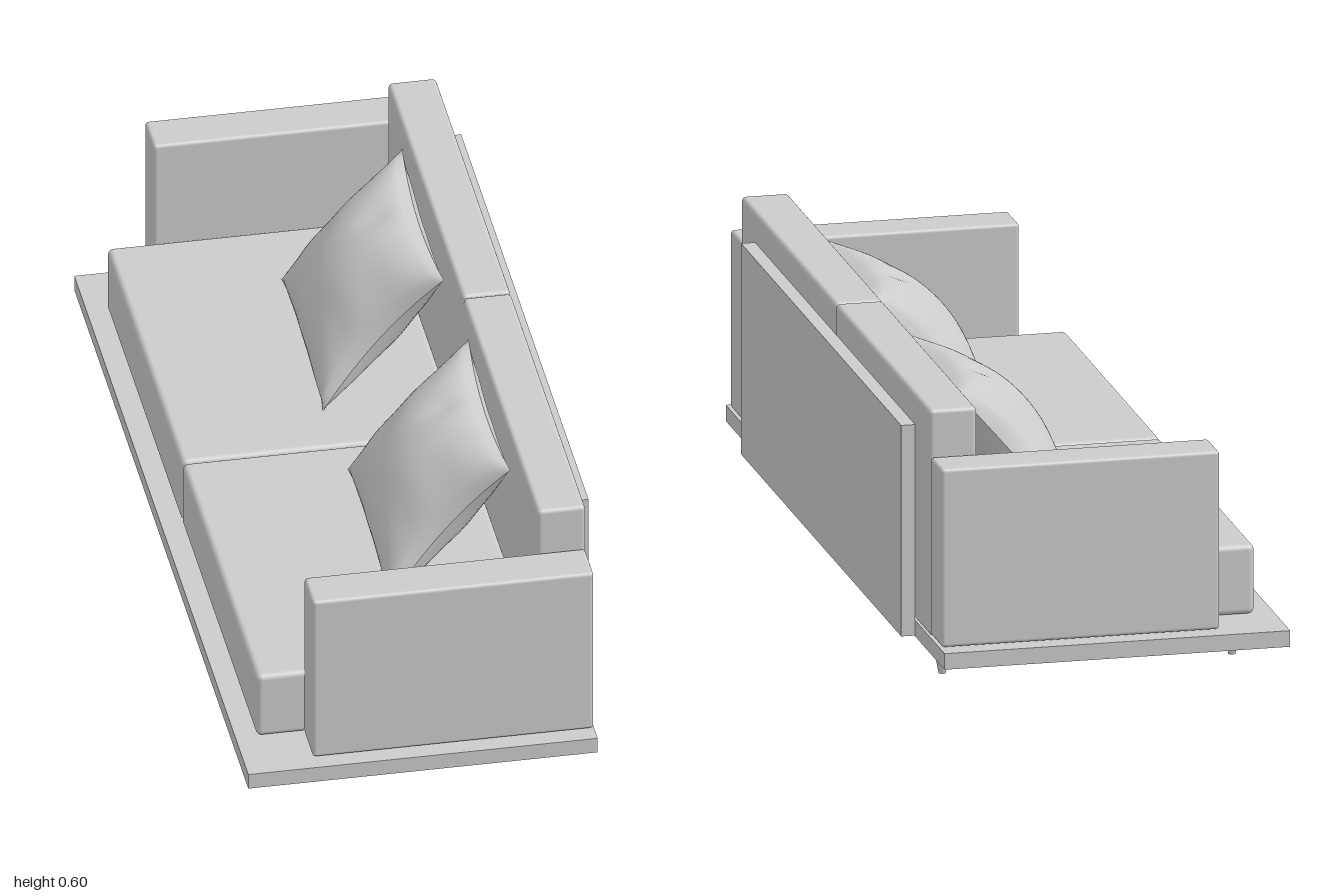
import * as THREE from 'three';
import { RoundedBoxGeometry } from 'three/addons/geometries/RoundedBoxGeometry.js';
import { mergeGeometries } from 'three/addons/utils/BufferGeometryUtils.js';

const material = new THREE.MeshStandardMaterial({ color: 0xcccccc });

// Box given by its extents; a radius above zero rounds the edges.
function block(name, [x0, x1], [y0, y1], [z0, z1], radius = 0) {
  const size = [x1 - x0, y1 - y0, z1 - z0];
  const geometry = radius
    ? new RoundedBoxGeometry(...size, 4, radius)
    : new THREE.BoxGeometry(...size);
  const mesh = new THREE.Mesh(geometry, material);
  mesh.name = name;
  mesh.position.set((x0 + x1) / 2, (y0 + y1) / 2, (z0 + z1) / 2);
  return mesh;
}

// One face of the pillow: a grid with drawn-in edges, puffed out from the seam.
function pillowFace(side) {
  const halfWidth = 0.258, halfHeight = 0.203, puff = 0.1;
  const geometry = new THREE.PlaneGeometry(2, 2, 40, 40);
  const p = geometry.attributes.position;
  for (let i = 0; i < p.count; i++) {
    const u = p.getX(i) * side, v = p.getY(i);
    const a = Math.max(0, 1 - u * u), b = Math.max(0, 1 - v * v);
    const x = u * halfWidth * (1 - 0.13 * b);
    const y = v * halfHeight * (1 - 0.09 * a);
    // folds that run in from the seams, and one dent at the top
    const folds = 0.005 * a * b * (u * u * Math.sin(9 * v + 2 * u) + v * v * Math.sin(10 * u + 1));
    const dent = 0.018 * Math.exp(-((u + 0.1) ** 2) / 0.02 - ((v - 0.75) ** 2) / 0.05) * b;
    const z = puff * Math.pow(a * b, 0.55) + folds - dent;
    p.setXYZ(i, x, y, z * side);
  }
  geometry.computeVertexNormals();
  return geometry;
}

export function createModel() {
  const sofa = new THREE.Group();
  sofa.name = 'sofa';

  // Platform and rear panel
  sofa.add(block('basePlate', [-0.4, 0.365], [0.058, 0.094], [-1, 1]));
  sofa.add(block('rearPanel', [0.365, 0.396], [0.06, 0.532], [-0.732, 0.732]));

  // Arms, seat cushions, back cushions and legs, mirrored across the middle
  const legGeometry = new THREE.CylinderGeometry(0.019, 0.008, 0.06, 16);
  for (const side of [-1, 1]) {
    const span = (a, b) => (side > 0 ? [a, b] : [-b, -a]);
    sofa.add(block('arm', [-0.252, 0.363], [0.097, 0.496], span(0.864, 0.966), 0.008));
    sofa.add(block('seatCushion', [-0.355, 0.258], [0.095, 0.251], span(0.002, 0.861), 0.013));
    sofa.add(block('backCushion', [0.26, 0.365], [0.095, 0.6], span(0.002, 0.861), 0.01));
    for (const x of [-0.313, 0.328]) {
      const leg = new THREE.Mesh(legGeometry, material);
      leg.name = 'leg';
      leg.position.set(x, 0.03, side * 0.825);
      sofa.add(leg);
    }
  }

  // Pillows leaning on the back cushions
  const pillowGeometry = mergeGeometries([pillowFace(1), pillowFace(-1)]);
  pillowGeometry.rotateZ(-0.02);
  const tilt = new THREE.Matrix4().makeBasis(
    new THREE.Vector3(0, 0, 1),
    new THREE.Vector3(0.65, 0.76, 0),
    new THREE.Vector3(-0.76, 0.65, 0)
  );
  for (const z of [-0.39, 0.372]) {
    const pillow = new THREE.Mesh(pillowGeometry, material);
    pillow.name = 'pillow';
    pillow.quaternion.setFromRotationMatrix(tilt);
    pillow.position.set(0.115, 0.412, z);
    sofa.add(pillow);
  }
  return sofa;
}
